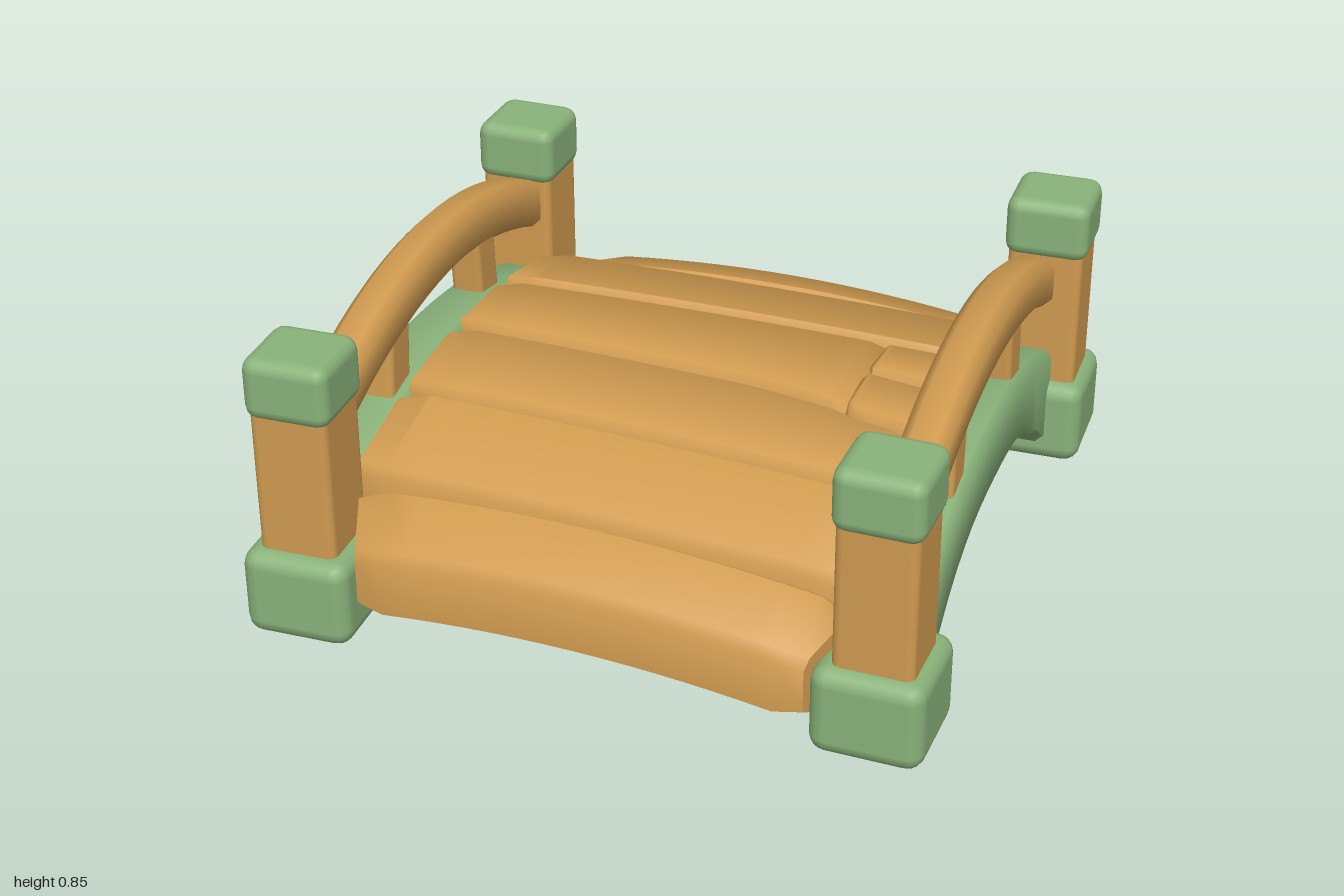
import * as THREE from 'three';
import { toCreasedNormals } from 'three/addons/utils/BufferGeometryUtils.js';
import { RoundedBoxGeometry } from 'three/addons/geometries/RoundedBoxGeometry.js';

const wood = new THREE.MeshStandardMaterial({ color: 0xd09b50 });
wood.name = 'warm wood';
const green = new THREE.MeshStandardMaterial({ color: 0x89b27a });
green.name = 'soft green';

function add(parent, name, geometry, material) {
  const mesh = new THREE.Mesh(geometry, material);
  mesh.name = name;
  parent.add(mesh);
  return mesh;
}

// Rectangle with cut corners, counter-clockwise
function ring(u0, u1, v0, v1, c) {
  return [[u0 + c, v0], [u1 - c, v0], [u1, v0 + c], [u1, v1 - c],
    [u1 - c, v1], [u0 + c, v1], [u0, v1 - c], [u0, v0 + c]];
}

// Skin a list of rings of [x, y, z] points and close both ends
function loft(rings) {
  const n = rings[0].length, pos = [];
  const tri = (a, b, c) => pos.push(...a, ...b, ...c);
  for (let i = 0; i < rings.length - 1; i++) {
    for (let j = 0; j < n; j++) {
      const k = (j + 1) % n;
      tri(rings[i][j], rings[i][k], rings[i + 1][k]);
      tri(rings[i][j], rings[i + 1][k], rings[i + 1][j]);
    }
  }
  const first = rings[0], last = rings[rings.length - 1];
  for (let j = 1; j < n - 1; j++) {
    tri(first[0], first[j + 1], first[j]);
    tri(last[0], last[j], last[j + 1]);
  }
  const g = new THREE.BufferGeometry();
  g.setAttribute('position', new THREE.Float32BufferAttribute(pos, 3));
  return toCreasedNormals(g, 0.9);
}

// Beam running along z with bottom and top heights given as functions of z
function beam(x0, x1, bottom, top, halfLength, c) {
  const rings = [], steps = 20;
  for (let i = 0; i <= steps; i++) {
    const z = halfLength * (2 * i / steps - 1);
    rings.push(ring(x0, x1, bottom(z), top(z), c).map(([x, y]) => [x, y, z]));
  }
  return loft(rings);
}

// Linear lookup in [x, z] pairs
function lookup(points, x) {
  let i = 0;
  while (i < points.length - 2 && x > points[i + 1][0]) i++;
  const [xa, za] = points[i], [xb, zb] = points[i + 1];
  return za + (zb - za) * (x - xa) / (xb - xa);
}

const deckTop = (z) => 0.535 - 0.2 * z * z;

// Plank across x between two edge lines; end = -1 or 1 for the outermost planks
function plank(back, front, x0, x1, end = 0) {
  const rings = [], steps = 16, thick = end ? 0.2 : 0.18;
  for (let i = 0; i <= steps; i++) {
    const x = x0 + (x1 - x0) * i / steps;
    const inset = i === 0 || i === steps ? 0.015 : 0;
    const za = lookup(back, x) + inset, zb = lookup(front, x) - inset;
    const sag = (end ? 0.09 : 0.02) * x * x + 0.018 * x;
    rings.push(ring(-thick + inset, -inset, za, zb, 0.022).map(([y, z]) => {
      const outer = end ? (end > 0 ? (z - za) / (zb - za) : (zb - z) / (zb - za)) : 0;
      return [x * (1 - 0.11 * outer), deckTop(z) + y - sag, z];
    }));
  }
  return loft(rings);
}

export function createModel() {
  const bridge = new THREE.Group();
  bridge.name = 'footbridge';

  // Corner posts: foot centre x, z, then cap centre x, z, and a slight twist
  const corners = [
    ['frontRight', -0.825, 0.808, -0.825, 0.808, 0.02],
    ['frontLeft', 0.81, 0.825, 0.815, 0.83, -0.03],
    ['backRight', -0.835, -0.805, -0.835, -0.805, -0.02],
    ['backLeft', 0.84, -0.83, 0.85, -0.825, 0.02],
  ];
  for (const [name, fx, fz, cx, cz, twist] of corners) {
    const post = new THREE.Group();
    post.name = name + 'Post';
    bridge.add(post);
    const foot = add(post, 'foot', new RoundedBoxGeometry(0.315, 0.265, 0.315, 2, 0.05), green);
    foot.position.set(fx, 0.1325, fz);
    foot.rotation.y = twist;
    const shaft = add(post, 'shaft', new RoundedBoxGeometry(0.225, 0.56, 0.22, 2, 0.025), wood);
    shaft.position.set(cx, 0.46, cz);
    shaft.rotation.y = twist;
    const cap = add(post, 'cap', new RoundedBoxGeometry(0.25, 0.185, 0.245, 2, 0.04), green);
    cap.position.set(cx, 0.76, cz);
    cap.rotation.y = twist;
  }

  // Side arches, handrails and balusters
  const archTop = (z) => 0.52 - 0.3 * z * z;
  const archBottom = (z) => Math.max(0.04, 0.3 - 0.23 * Math.pow(Math.abs(z) / 0.66, 2.6));
  const railDrop = (z) => 0.31 * z * z;
  for (const side of [-1, 1]) {
    const label = side > 0 ? 'left' : 'right';
    const mid = side * 0.82;
    add(bridge, label + 'Arch', beam(mid - 0.1, mid + 0.075, archBottom, archTop, 0.8, 0.025), green)
      .position.x = side > 0 ? 0 : 0.02;
    add(bridge, label + 'Handrail', beam(mid - 0.065, mid + 0.065,
      (z) => 0.67 - railDrop(z), (z) => 0.83 - railDrop(z), 0.78, 0.03), wood);
    for (const end of [-1, 1]) {
      const baluster = add(bridge, label + 'Baluster', new RoundedBoxGeometry(0.1, 0.32, 0.13, 2, 0.02), wood);
      baluster.position.set(mid, 0.56, end * 0.315);
      baluster.rotation.x = end * -0.08;
    }
  }

  // Deck planks: back edge, front edge, x range, outermost side
  const L = -0.745, R = 0.72;
  const line = (a, b) => [[L, a], [R, b]];
  const splitBack = [[L, 0.01], [0.2, 0.045], [0.43, 0.075], [0.53, 0.11], [R, 0.135]];
  const splitFront = [[L, -0.008], [0.2, 0.03], [0.43, 0.06], [0.53, 0.09], [R, 0.112]];
  const planks = [
    [line(-0.965, -0.995), line(-0.715, -0.765), L + 0.03, R, -1],
    [line(-0.7, -0.745), line(-0.37, -0.4), L, R],
    [line(-0.345, -0.385), splitFront, L, 0.5],
    [line(-0.345, -0.385), [[0.47, -0.155], [R, -0.145]], 0.47, R],
    [[[0.47, -0.155], [R, -0.122]], splitFront, 0.47, R],
    [splitBack, line(0.35, 0.4), L, R],
    [line(0.362, 0.415), line(0.705, 0.75), L, R],
    [line(0.718, 0.765), line(0.955, 0.985), L + 0.03, R, 1],
  ];
  for (const p of planks) add(bridge, 'deckPlank', plank(...p), wood);

  return bridge;
}
